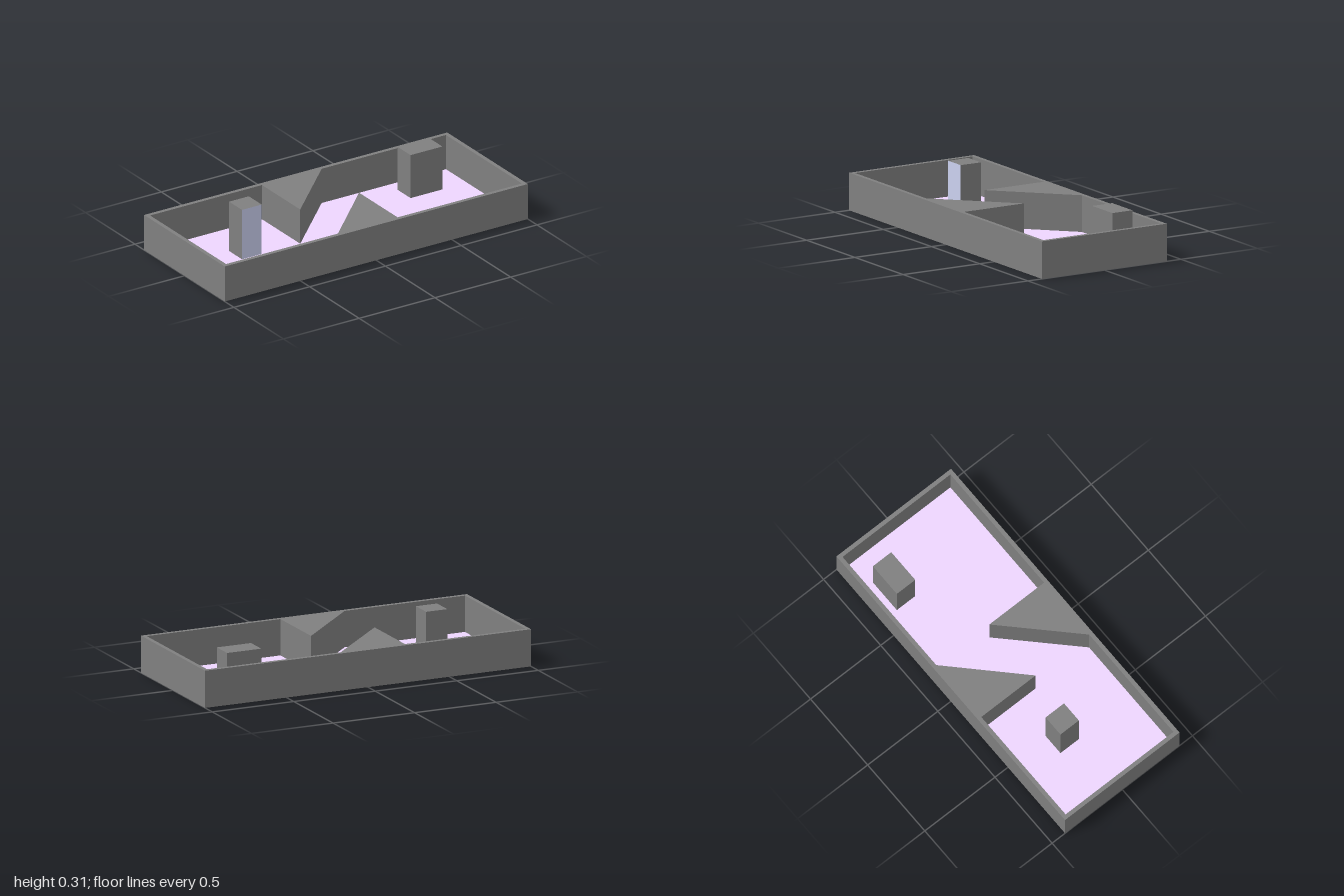
import * as THREE from 'three';

const grey = new THREE.MeshStandardMaterial({ color: 0x808080 });
const lilac = new THREE.MeshStandardMaterial({ color: 0xeed6fe });
const blue = new THREE.MeshStandardMaterial({ color: 0xccd1f0 });

const HALF_X = 1, HALF_Z = 0.408, WALL = 0.024;
const HEIGHT = 0.213, FLOOR = 0.005;

// Box given by its limits; `painted` replaces the material of one side
// (side order: +x, -x, +y, -y, +z, -z)
function block(name, [x0, x1], [y0, y1], [z0, z1], painted = {}) {
  const geometry = new THREE.BoxGeometry(x1 - x0, y1 - y0, z1 - z0);
  const materials = Array.from({ length: 6 }, (_, side) => painted[side] ?? grey);
  const mesh = new THREE.Mesh(geometry, materials);
  mesh.name = name;
  mesh.position.set((x0 + x1) / 2, (y0 + y1) / 2, (z0 + z1) / 2);
  return mesh;
}

// Plan outline from [x, z] points
const outline = (points) => points.map(([x, z]) => new THREE.Vector2(x, -z));

// Rim and the two triangular barriers, extruded as one plan
function createWalls() {
  const ix = HALF_X - WALL, iz = HALF_Z - WALL;
  const left = -0.238, right = 0.156;
  const shape = new THREE.Shape(outline([
    [-HALF_X, HALF_Z], [HALF_X, HALF_Z], [HALF_X, -HALF_Z], [-HALF_X, -HALF_Z],
  ]));
  shape.holes.push(new THREE.Path(outline([
    [-ix, -iz], [left, -iz], [left, 0.003], [right, -iz], [ix, -iz],
    [ix, iz], [right, iz], [right, -0.006], [left, iz], [-ix, iz],
  ])));
  const geometry = new THREE.ExtrudeGeometry(shape, { depth: HEIGHT - FLOOR, bevelEnabled: false });
  geometry.rotateX(-Math.PI / 2);
  const walls = new THREE.Mesh(geometry, grey);
  walls.name = 'wallsAndBarriers';
  walls.position.y = FLOOR;
  return walls;
}

export function createModel() {
  const model = new THREE.Group();
  model.name = 'walledCourse';
  model.add(
    // Base slab with a coloured floor on top
    block('floor', [-HALF_X, HALF_X], [0, FLOOR], [-HALF_Z, HALF_Z], { 2: lilac }),
    createWalls(),
    // Tall post with a coloured front, and the wide low post
    block('tallPost', [-0.62, -0.49], [FLOOR, 0.305], [-0.131, 0], { 4: blue }),
    block('widePost', [0.603, 0.813], [FLOOR, 0.266], [-0.301, -0.17]),
  );
  return model;
}
